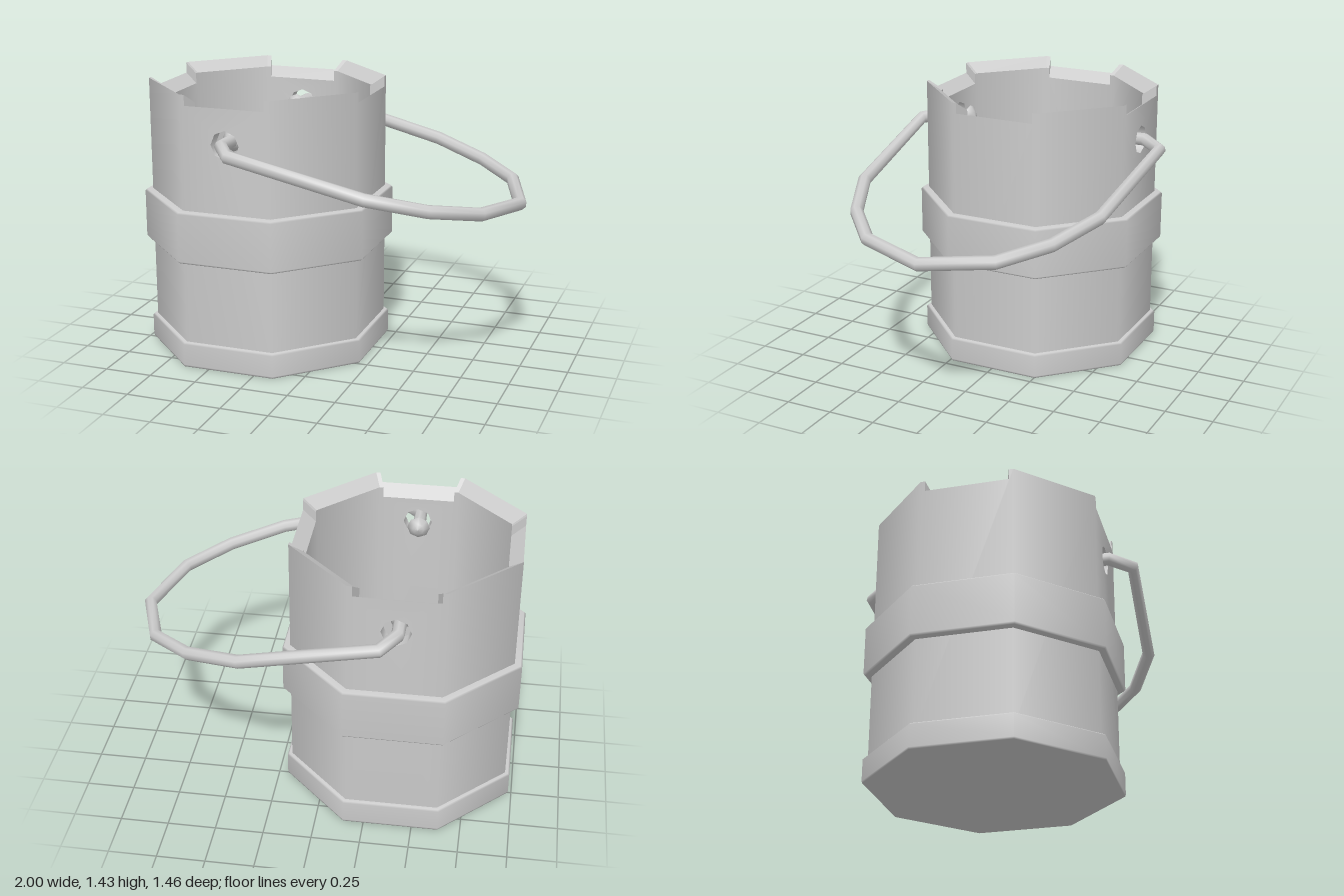
import * as THREE from 'three';

const material = new THREE.MeshStandardMaterial({ color: 0xcccccc });
const doubleMaterial = new THREE.MeshStandardMaterial({ color: 0xcccccc, side: THREE.DoubleSide });

const OUTER = 0.57, INNER = 0.5;               // wall distance from the axis
const HALF = Math.tan(Math.PI / 8);            // half side of an octagon of apothem 1
const TOP = 1.43, NOTCH = 1.375, FLOOR = 0.06;
const LIP_DROP = 0.05;                         // rim slopes down towards the inside
const HOLE_Y = 1.19, HOLE_R = 0.075;

function addMesh(parent, name, geometry, mat = material) {
  const mesh = new THREE.Mesh(geometry, mat);
  mesh.name = name;
  parent.add(mesh);
  return mesh;
}

// Eight-sided turned part with flat sides on the axes; profile is [apothem, y]
function octagonLathe(profile) {
  const pts = profile.map(([a, y]) => new THREE.Vector2(a / Math.cos(Math.PI / 8), y));
  return new THREE.LatheGeometry(pts, 8, Math.PI / 8);
}

// Top edge of one side: diagonals stand up as tabs, the others are notched
function topEdge(k, apothem, drop) {
  const h = HALF * apothem, t = h * 0.9;
  const pts = k % 2
    ? [[-h, TOP], [h, TOP]]
    : [[-h, TOP], [-t, TOP], [-t, NOTCH], [t, NOTCH], [t, TOP], [h, TOP]];
  return pts.map(([u, y]) => [u, y - drop]);
}

function place(k, u, y, apothem) {
  const a = k * Math.PI / 4;
  return new THREE.Vector3(
    Math.sin(a) * apothem + Math.cos(a) * u, y, Math.cos(a) * apothem - Math.sin(a) * u);
}

// One flat wall panel, with a handle hole at front and back, shaded round
function wallPanel(k, apothem, inside) {
  const h = HALF * apothem;
  const edge = topEdge(k, apothem, inside ? LIP_DROP : 0).reverse();
  const shape = new THREE.Shape(
    [[-h, FLOOR], [h, FLOOR], ...edge].map(p => new THREE.Vector2(...p)));
  if (k % 4 === 0) {
    const hole = [];
    for (let i = 0; i < 8; i++) {
      const t = -i * Math.PI / 4;
      hole.push(new THREE.Vector2(Math.cos(t) * HOLE_R, HOLE_Y + Math.sin(t) * HOLE_R));
    }
    shape.holes.push(new THREE.Path(hole));
  }
  const geo = new THREE.ShapeGeometry(shape);
  const pos = geo.attributes.position, nor = geo.attributes.normal;
  for (let i = 0; i < pos.count; i++) {
    const p = place(k, pos.getX(i), pos.getY(i), apothem);
    pos.setXYZ(i, p.x, p.y, p.z);
    const n = p.setY(0).normalize().multiplyScalar(inside ? -1 : 1);
    nor.setXYZ(i, n.x, n.y, n.z);
  }
  if (inside) geo.setIndex(Array.from(geo.index.array).reverse());
  return geo;
}

// Sloping strip joining the outer and inner top edges
function rimStrip(k) {
  const o = topEdge(k, OUTER, 0).map(([u, y]) => place(k, u, y, OUTER));
  const n = topEdge(k, INNER, LIP_DROP).map(([u, y]) => place(k, u, y, INNER));
  const pts = [];
  for (let i = 0; i + 1 < o.length; i++) {
    pts.push(o[i], o[i + 1], n[i + 1], o[i], n[i + 1], n[i]);
  }
  const geo = new THREE.BufferGeometry().setFromPoints(pts);
  geo.computeVertexNormals();
  return geo;
}

// Bent rod with a corner at every point
class BentPath extends THREE.Curve {
  constructor(points) {
    super();
    this.points = points;
  }
  getPoint(t, target = new THREE.Vector3()) {
    const n = this.points.length - 1, i = Math.min(Math.floor(t * n + 1e-6), n - 1);
    return target.lerpVectors(this.points[i], this.points[i + 1], t * n - i);
  }
  getPointAt(t, target) {
    return this.getPoint(t, target);
  }
  getTangentAt(t, target = new THREE.Vector3()) {
    const n = this.points.length - 1, i = Math.round(t * n), p = this.points;
    target.set(0, 0, 0);
    if (i > 0) target.add(p[i].clone().sub(p[i - 1]).normalize());
    if (i < n) target.add(p[i + 1].clone().sub(p[i]).normalize());
    return target.normalize();
  }
}

export function createModel() {
  const model = new THREE.Group();
  model.name = 'bucketWithHandle';

  // Octagonal bucket, standing to one side of the centre
  const bucket = new THREE.Group();
  bucket.name = 'bucket';
  bucket.position.set(-0.39, 0, -0.008);
  model.add(bucket);

  for (let k = 0; k < 8; k++) {
    addMesh(bucket, 'outerWall', wallPanel(k, OUTER, false));
    addMesh(bucket, 'innerWall', wallPanel(k, INNER, true));
    addMesh(bucket, 'rim', rimStrip(k), doubleMaterial);
  }
  addMesh(bucket, 'floor', octagonLathe([[INNER, FLOOR], [0, FLOOR]]));
  addMesh(bucket, 'baseBand',
    octagonLathe([[0, 0], [0.59, 0], [0.593, 0.01], [0.593, 0.122], [0.585, 0.13], [0.565, 0.132]]));
  addMesh(bucket, 'middleBand',
    octagonLathe([[0.565, 0.562], [0.6, 0.565], [0.608, 0.575], [0.608, 0.825], [0.6, 0.833], [0.565, 0.837]]));

  // Hole linings and the knobs that keep the handle in place
  for (const s of [1, -1]) {
    const lining = addMesh(bucket, 'holeLining',
      new THREE.CylinderGeometry(HOLE_R, HOLE_R, OUTER - INNER, 8, 1, true, Math.PI / 2), doubleMaterial);
    lining.rotation.x = Math.PI / 2;
    lining.position.set(0, HOLE_Y, s * (OUTER + INNER) / 2);

    const knob = addMesh(bucket, 'handleKnob', new THREE.LatheGeometry(
      [[0, 0.405], [0.03, 0.415], [0.06, 0.438], [0.035, 0.465], [0.02, 0.475]]
        .map(p => new THREE.Vector2(...p)), 8));
    knob.rotation.x = s * Math.PI / 2;
    knob.position.set(-0.01, HOLE_Y, 0);
  }

  // Handle: half the path, mirrored front to back
  const half = [
    [-0.4, 1.19, 0.45], [-0.4, 1.19, 0.59], [-0.32, 1.17, 0.7], [0.36, 1.01, 0.66],
    [0.64, 0.945, 0.535], [0.85, 0.9, 0.345]];
  const path = [
    ...half, [0.967, 0.872, 0], ...half.map(([x, y, z]) => [x, y, -z]).reverse(),
  ].map(p => new THREE.Vector3(...p));
  const handle = addMesh(model, 'handle',
    new THREE.TubeGeometry(new BentPath(path), path.length - 1, 0.034, 8, false));
  handle.position.z = -0.008;

  return model;
}
